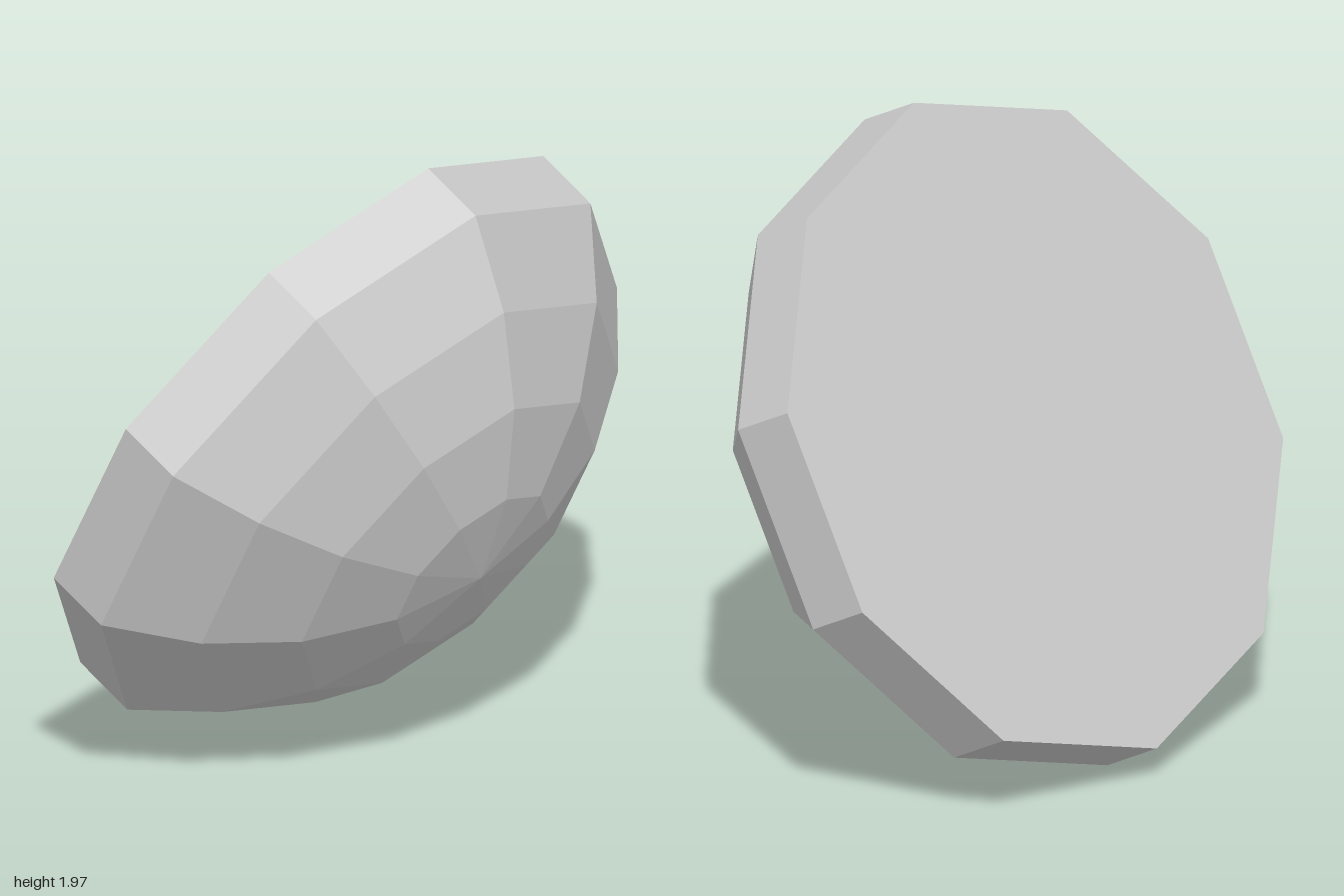
import * as THREE from 'three';

export function createModel() {
  const SIDES = 10;
  const RADIUS = 1.0515;  // decagon corner radius
  const THICKNESS = 0.22; // straight rim
  const DOME = 0.566;     // cap height above the rim
  const RINGS = 4;

  const grey = new THREE.MeshStandardMaterial({ color: 0xcccccc });
  grey.name = 'grey';
  grey.flatShading = true;

  const cap = new THREE.Group();
  cap.name = 'tiltedCap';
  const add = (name, points) => {
    const mesh = new THREE.Mesh(new THREE.LatheGeometry(points, SIDES), grey);
    mesh.name = name;
    cap.add(mesh);
  };
  const p = (r, h) => new THREE.Vector2(r, h);

  // Flat back and straight rim
  add('backDisc', [p(0, -THICKNESS), p(RADIUS, -THICKNESS)]);
  add('rimBand', [p(RADIUS, -THICKNESS), p(RADIUS, 0)]);

  // Shallow faceted dome: a spherical cap in equal angle steps
  const sphere = (RADIUS ** 2 + DOME ** 2) / (2 * DOME);
  const halfAngle = Math.asin(RADIUS / sphere);
  const profile = [];
  for (let i = RINGS; i >= 0; i--) {
    const a = (halfAngle * i) / RINGS;
    profile.push(p(sphere * Math.sin(a), sphere * Math.cos(a) - sphere + DOME));
  }
  add('dome', profile);

  // Lean the dome forward and slightly down
  cap.rotation.set(THREE.MathUtils.degToRad(117.5), 0, -0.01);
  cap.position.set(0, 0.936, 0.02);

  const model = new THREE.Group();
  model.name = 'facetedDome';
  model.add(cap);
  return model;
}
